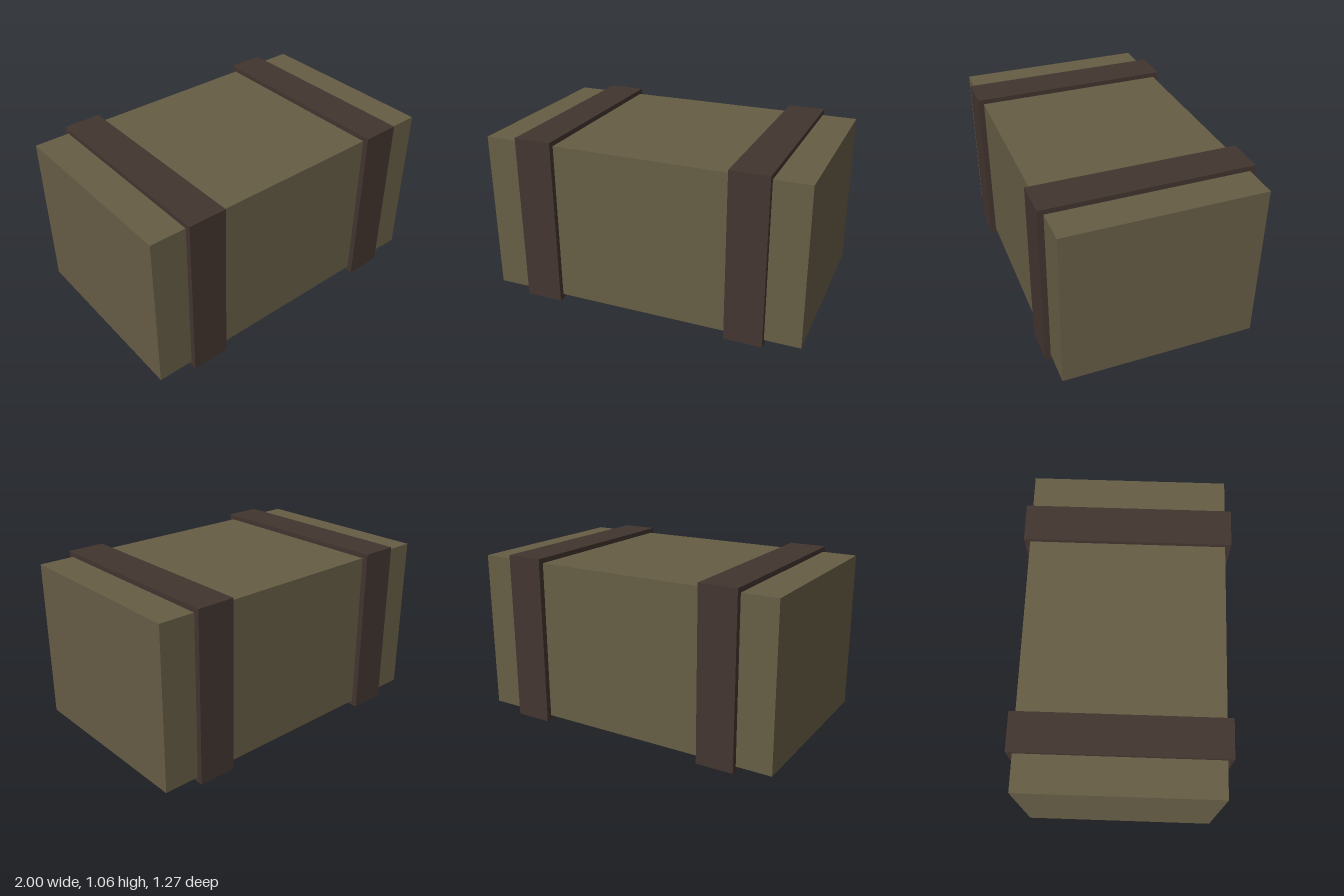
import * as THREE from 'three';

export function createModel() {
  const model = new THREE.Group();
  model.name = 'crate';

  const wood = new THREE.MeshStandardMaterial({ color: 0x665d45 });
  wood.name = 'olive wood';
  const leather = new THREE.MeshStandardMaterial({ color: 0x42352f });
  leather.name = 'dark brown strap';

  const addBox = (name, material, size, position) => {
    const mesh = new THREE.Mesh(new THREE.BoxGeometry(...size), material);
    mesh.name = name;
    mesh.position.set(...position);
    model.add(mesh);
  };

  // Main box, held just off the ground by the straps
  addBox('crateBody', wood, [2, 1, 1.2], [0, 0.53, 0]);

  // Two bands wrapped all the way around the box
  for (const [name, side] of [['leftStrap', 1], ['rightStrap', -1]]) {
    addBox(name, leather, [0.235, 1.06, 1.27], [side * 0.663, 0.53, 0]);
  }

  return model;
}
